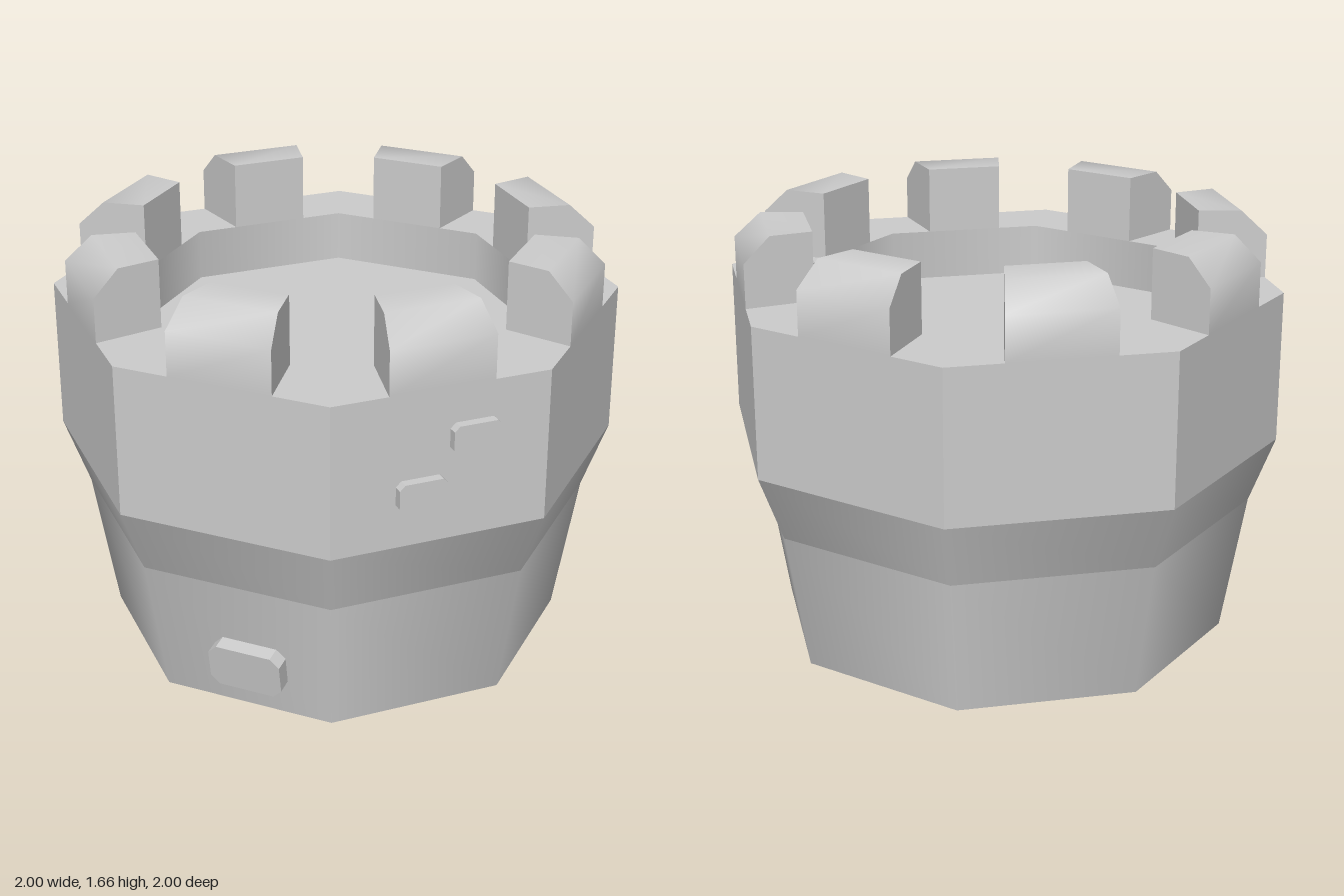
import * as THREE from 'three';
import { toCreasedNormals } from 'three/addons/utils/BufferGeometryUtils.js';

const EIGHTH = Math.PI / 8;
const corner = (apothem) => apothem / Math.cos(EIGHTH);

export function createModel() {
  const stone = new THREE.MeshStandardMaterial({ color: 0xcccccc });
  stone.name = 'stone grey';
  const tower = new THREE.Group();
  tower.name = 'tower';

  const add = (name, geometry, parent = tower) => {
    const mesh = new THREE.Mesh(geometry, stone);
    mesh.name = name;
    parent.add(mesh);
    return mesh;
  };

  // Eight-sided band between two [apothem, y] rings; a falling profile faces inward
  const band = (from, to) => new THREE.LatheGeometry(
    [from, to].map(([a, y]) => new THREE.Vector2(corner(a), y)), 8, EIGHTH);

  // Tapered body and flared collar, shaded smoothly around
  add('body', band([0.825, 0], [0.91, 0.55]));
  add('collar', band([0.91, 0.55], [1, 0.81]));

  // Flat-sided parapet wall
  const wall = band([1, 0.81], [1, 1.4]).toNonIndexed();
  wall.computeVertexNormals();
  add('parapetWall', wall);
  add('parapetInside', band([0.74, 1.4], [0.74, 1.2]));

  // Horizontal faces
  add('underside', new THREE.CircleGeometry(corner(0.825), 8, EIGHTH).rotateX(Math.PI / 2));
  add('roofFloor', new THREE.CircleGeometry(corner(0.74), 8, EIGHTH)
    .rotateX(-Math.PI / 2).translate(0, 1.2, 0));
  add('parapetRim', new THREE.RingGeometry(corner(0.74), corner(1), 8, 1, EIGHTH)
    .rotateX(-Math.PI / 2).translate(0, 1.4, 0));

  // Merlon: chamfered profile in (radius, height), narrowing toward the centre
  const profile = new THREE.Shape([
    [0.74, 1.4], [1, 1.4], [1, 1.57], [0.9, 1.665], [0.74, 1.665],
  ].map(([r, y]) => new THREE.Vector2(r, y)));
  let merlon = new THREE.ExtrudeGeometry(profile, { depth: 0.4, bevelEnabled: false })
    .translate(0, 0, -0.2).rotateY(-Math.PI / 2);
  const p = merlon.attributes.position;
  for (let i = 0; i < p.count; i++) p.setX(i, p.getX(i) * p.getZ(i));
  merlon = toCreasedNormals(merlon, Math.PI / 3);
  for (let i = 0; i < 8; i++) {
    add('merlon', merlon).rotation.y = i * Math.PI / 4;
  }

  // Raised stone with cut corners, its back sunk slightly into the wall
  const block = (w, h, c, out) => {
    const x = w / 2, y = h / 2;
    const outline = new THREE.Shape([
      [-x + c, -y], [x - c, -y], [x, -y + c], [x, y - c],
      [x - c, y], [-x + c, y], [-x, y - c], [-x, -y + c],
    ].map(([a, b]) => new THREE.Vector2(a, b)));
    return new THREE.ExtrudeGeometry(outline, { depth: out + 0.02, bevelEnabled: false })
      .translate(0, 0, -0.02);
  };

  // Two small stones on the front left facet
  const facet = new THREE.Group();
  facet.name = 'facetStones';
  facet.rotation.y = Math.PI / 4;
  tower.add(facet);
  for (const [x, y] of [[0.124, 1.205], [-0.078, 1.015]]) {
    add('wallStone', block(0.185, 0.11, 0.02, 0.036), facet).position.set(x, y, 1);
  }

  // Larger stone leaning with the front of the body
  const base = add('baseStone', block(0.29, 0.18, 0.035, 0.06));
  base.position.set(0.03, 0.21, 0.857);
  base.rotation.x = Math.atan2(0.085, 0.55);

  return tower;
}
